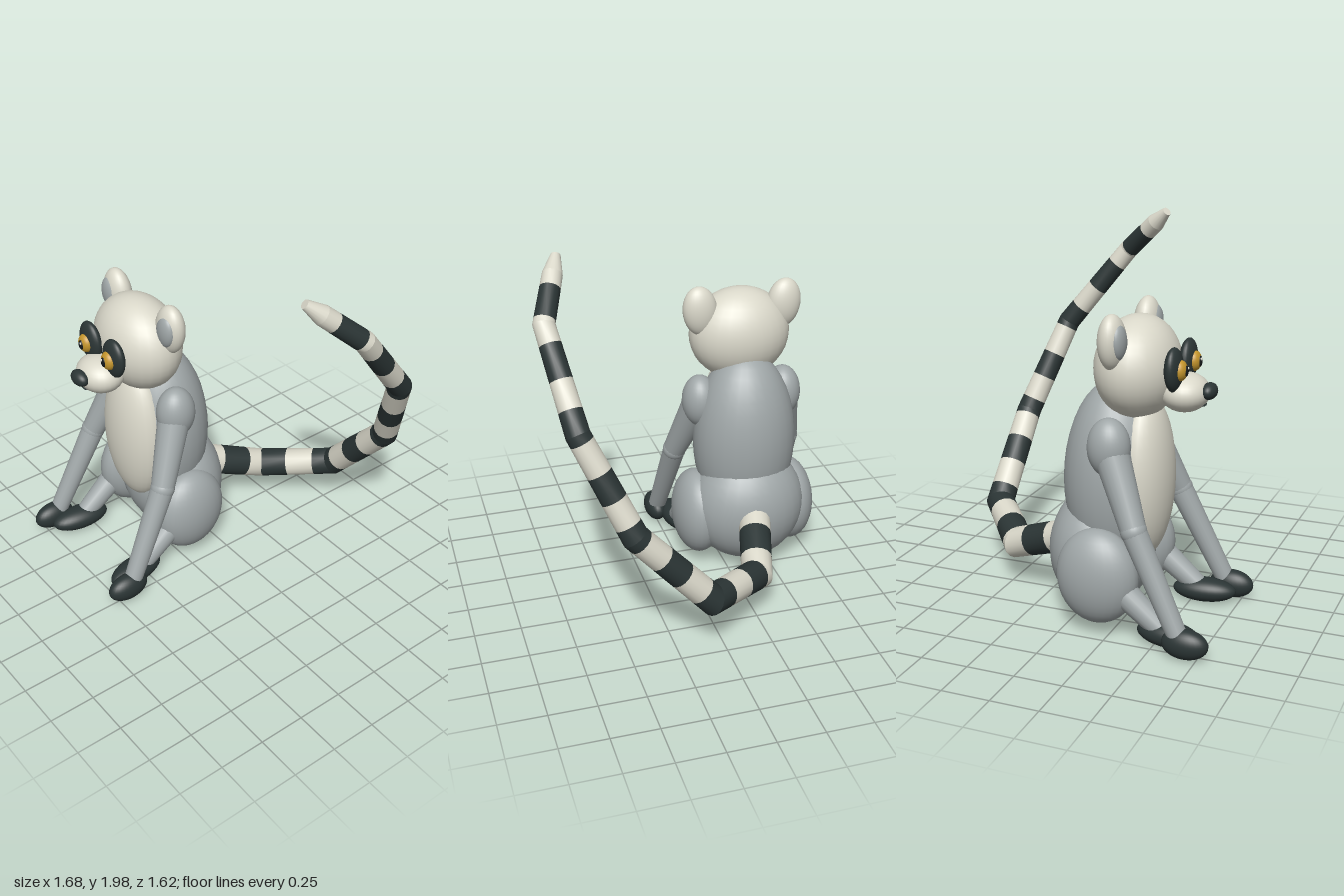
import * as THREE from 'three';
import { mergeGeometries } from 'three/addons/utils/BufferGeometryUtils.js';

const CX = -0.39; // the body sits left of the origin, the tail fills the other side

function material(name, color) {
  const m = new THREE.MeshStandardMaterial({ color });
  m.name = name;
  return m;
}

export function createModel() {
  const model = new THREE.Group();
  model.name = 'sittingLemur';
  const grey = material('greyFur', 0xa0a7a8);
  const cream = material('creamFur', 0xdad8ca);
  const dark = material('darkFur', 0x2b3535);
  const gold = material('goldIris', 0xc4952c);
  const black = material('blackPupil', 0x14181a);

  function add(parent, name, geometry, mat) {
    const mesh = new THREE.Mesh(geometry, mat);
    mesh.name = name;
    parent.add(mesh);
    return mesh;
  }
  function ellipsoid(parent, name, mat, pos, radii, rot = [0, 0, 0]) {
    const mesh = add(parent, name, new THREE.SphereGeometry(1, 28, 20), mat);
    mesh.position.set(...pos);
    mesh.scale.set(...radii);
    mesh.rotation.set(...rot);
    return mesh;
  }
  function limb(parent, name, mat, from, to, r0, r1) {
    const a = new THREE.Vector3(...from), b = new THREE.Vector3(...to);
    const dir = b.clone().sub(a);
    const mesh = add(parent, name, new THREE.CylinderGeometry(r1, r0, dir.length(), 20), mat);
    mesh.position.copy(a).add(b).multiplyScalar(0.5);
    mesh.quaternion.setFromUnitVectors(new THREE.Vector3(0, 1, 0), dir.normalize());
    return mesh;
  }

  // Trunk and face, built around x = 0 and then shifted
  const body = new THREE.Group();
  body.name = 'body';
  body.position.x = CX;
  model.add(body);
  ellipsoid(body, 'pelvis', grey, [0, 0.37, 0.105], [0.33, 0.335, 0.27]);
  ellipsoid(body, 'torso', grey, [0, 0.75, 0.18], [0.29, 0.52, 0.267]);
  ellipsoid(body, 'belly', cream, [0, 0.775, 0.335], [0.225, 0.43, 0.145]);
  ellipsoid(body, 'head', cream, [0, 1.345, 0.295], [0.285, 0.262, 0.213]);
  ellipsoid(body, 'muzzle', cream, [0, 1.237, 0.54], [0.14, 0.098, 0.125]);
  ellipsoid(body, 'nose', dark, [0, 1.253, 0.665], [0.063, 0.042, 0.04]);
  ellipsoid(body, 'mouth', dark, [0, 1.182, 0.637], [0.03, 0.008, 0.014]);

  // Mirrored parts; s = 1 is the left side
  for (const s of [-1, 1]) {
    const side = s > 0 ? 'left' : 'right';
    const part = (name, mat, [x, y, z], radii, [rx, ry, rz] = [0, 0, 0]) =>
      ellipsoid(body, side + name, mat, [s * x, y, z], radii, [rx, s * ry, s * rz]);
    const bone = (name, [x0, y0, z0], [x1, y1, z1], r0, r1) =>
      limb(body, side + name, grey, [s * x0, y0, z0], [s * x1, y1, z1], r0, r1);

    part('Ear', cream, [0.24, 1.51, 0.25], [0.097, 0.141, 0.068], [0, 0, -0.12]);
    part('InnerEar', grey, [0.254, 1.515, 0.29], [0.064, 0.09, 0.037], [0, 0, -0.12]);
    part('EyePatch', dark, [0.108, 1.37, 0.518], [0.088, 0.113, 0.042], [0, 0, -0.15]);
    part('Iris', gold, [0.108, 1.37, 0.55], [0.048, 0.052, 0.036]);
    part('Pupil', black, [0.106, 1.37, 0.579], [0.02, 0.028, 0.012]);
    part('EyeGlint', cream, [0.1, 1.383, 0.588], [0.007, 0.008, 0.005]);

    part('Shoulder', grey, [0.245, 0.985, 0.235], [0.1, 0.15, 0.11]);
    bone('UpperArm', [0.25, 0.96, 0.25], [0.345, 0.61, 0.405], 0.09, 0.065);
    part('Elbow', grey, [0.345, 0.61, 0.405], [0.067, 0.067, 0.067]);
    bone('Forearm', [0.345, 0.61, 0.405], [0.388, 0.1, 0.66], 0.065, 0.05);
    part('Hand', dark, [0.39, 0.083, 0.69], [0.063, 0.077, 0.12]);

    part('Thigh', grey, [0.275, 0.315, 0.185], [0.14, 0.25, 0.216]);
    bone('Shin', [0.285, 0.3, 0.27], [0.29, 0.09, 0.53], 0.075, 0.055);
    part('Foot', dark, [0.29, 0.07, 0.57], [0.08, 0.064, 0.17], [0, 0.12, 0]);
  }

  model.add(createTail(cream, dark));
  return model;
}

// Ringed tail: straight tapering lengths with mitred joints
function createTail(cream, dark) {
  const SIDES = 16;
  const points = [
    [-0.39, 0.41, -0.02], [-0.26, 0.245, -0.455], [0.08, 0.33, -0.735], [0.48, 0.77, -0.735],
    [0.71, 1.28, -0.57], [0.785, 1.72, -0.22], [0.66, 1.97, 0.06],
  ].map(p => new THREE.Vector3(...p));
  const stripeEnds = [0.2, 0.37, 0.505, 0.66, 0.82, 1.02, 1.175, 1.33, 1.485, 1.6, 1.745,
    1.895, 2.07, 2.23, 2.385, 2.57, 2.7, 2.88, 9];
  const dirs = points.slice(1).map((p, i) => p.clone().sub(points[i]).normalize());
  const lengths = dirs.map((d, i) => points[i].distanceTo(points[i + 1]));
  const total = lengths.reduce((a, b) => a + b, 0);
  const taperStart = total - 0.11;
  const radius = s => s < taperStart
    ? 0.09 - 0.038 * s / taperStart
    : 0.052 - 0.027 * (s - taperStart) / (total - taperStart);

  // Unit ring around the first length
  const u = new THREE.Vector3(0, 1, 0).cross(dirs[0]).normalize();
  const v = dirs[0].clone().cross(u);
  let ring = Array.from({ length: SIDES }, (_, i) => {
    const a = i / SIDES * Math.PI * 2;
    return u.clone().multiplyScalar(Math.cos(a)).addScaledVector(v, Math.sin(a));
  });
  // Slides ring offsets along d on to the plane with normal n
  const slide = (r, d, n) => r.map(o => o.clone().addScaledVector(d, -o.dot(n) / d.dot(n)));

  const pieces = [[], []]; // cream, dark
  const band = (a, b) => {
    const g = new THREE.BufferGeometry();
    g.setAttribute('position', new THREE.Float32BufferAttribute([...a, ...b].flatMap(p => p.toArray()), 3));
    const index = [];
    for (let i = 0; i < SIDES; i++) {
      const j = (i + 1) % SIDES;
      index.push(i, j, SIDES + i, j, SIDES + j, SIDES + i);
    }
    g.setIndex(index);
    g.computeVertexNormals();
    return g;
  };

  let start = 0;
  let lastRing;
  dirs.forEach((d, k) => {
    const end = start + lengths[k];
    const bisector = i => (i <= 0 || i >= dirs.length)
      ? d : dirs[i - 1].clone().add(dirs[i]).normalize();
    const straight = slide(ring, d, d);
    const startRing = slide(straight, d, bisector(k));
    const endRing = slide(straight, d, bisector(k + 1));
    const cuts = [start, ...stripeEnds, taperStart].filter(s => s >= start && s < end - 1e-6);
    cuts.push(end);
    cuts.sort((a, b) => a - b);
    const at = s => {
      const shape = s === start ? startRing : s === end ? endRing : straight;
      const centre = points[k].clone().addScaledVector(d, s - start);
      return shape.map(o => centre.clone().addScaledVector(o, radius(s)));
    };
    for (let i = 0; i + 1 < cuts.length; i++) {
      const mid = (cuts[i] + cuts[i + 1]) / 2;
      const stripe = stripeEnds.findIndex(s => mid < s);
      lastRing = at(cuts[i + 1]);
      pieces[stripe % 2].push(band(at(cuts[i]), lastRing));
    }
    ring = endRing;
    start = end;
  });

  // Flat end of the tip
  const tip = points[points.length - 1];
  pieces[0].push(band(lastRing, lastRing.map(() => tip.clone())));

  const tail = new THREE.Group();
  tail.name = 'tail';
  [['tailLightRings', cream], ['tailDarkRings', dark]].forEach(([name, mat], i) => {
    const mesh = new THREE.Mesh(mergeGeometries(pieces[i]), mat);
    mesh.name = name;
    tail.add(mesh);
  });
  return tail;
}
